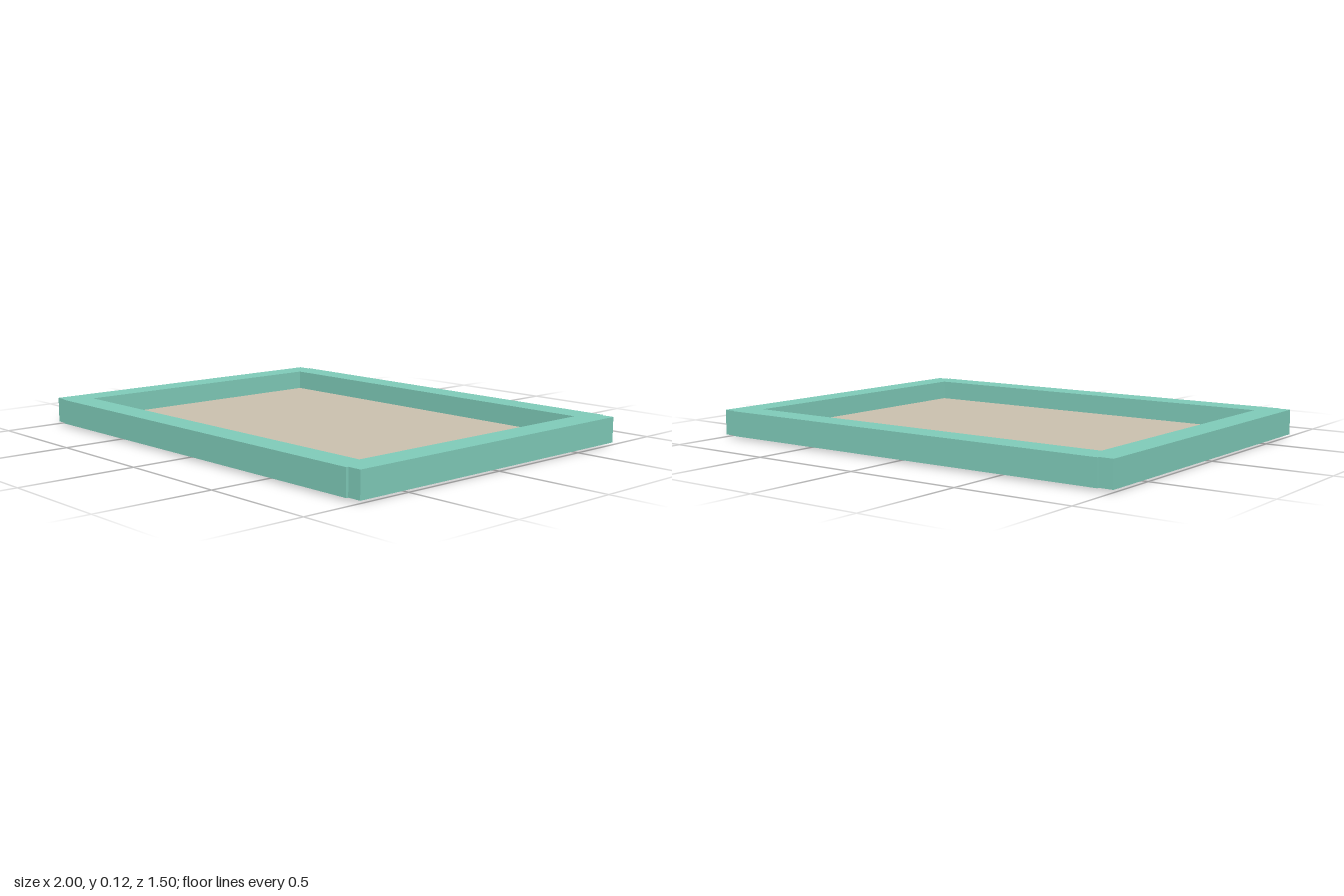
import * as THREE from 'three';

const teal = new THREE.MeshStandardMaterial({ name: 'teal frame', color: 0x7fcbb9 });
const beige = new THREE.MeshStandardMaterial({ name: 'beige panel', color: 0xcac0ae });

export function createModel() {
  const model = new THREE.Group();
  model.name = 'framedPanel';

  // Frame outline: side rails stop slightly short of the front and back rails
  const endX = 1, railX = 0.94, sideZ = 0.74, railZ = 0.75;
  const outline = new THREE.Shape([
    [-railX, -railZ], [railX, -railZ], [railX, -sideZ], [endX, -sideZ],
    [endX, sideZ], [railX, sideZ], [railX, railZ], [-railX, railZ],
    [-railX, sideZ], [-endX, sideZ], [-endX, -sideZ], [-railX, -sideZ],
  ].map(([x, z]) => new THREE.Vector2(x, z)));

  // Opening inside the rails
  const openX = 0.88, openZ = 0.63;
  outline.holes.push(new THREE.Path([
    [-openX, -openZ], [-openX, openZ], [openX, openZ], [openX, -openZ],
  ].map(([x, z]) => new THREE.Vector2(x, z))));

  const frameGeometry = new THREE.ExtrudeGeometry(outline, { depth: 0.11, bevelEnabled: false });
  frameGeometry.rotateX(-Math.PI / 2);
  const frame = new THREE.Mesh(frameGeometry, teal);
  frame.name = 'frame';
  frame.position.y = 0.01;
  model.add(frame);

  // Base panel, set into the frame and projecting slightly below it
  const thickness = 0.033;
  const panel = new THREE.Mesh(new THREE.BoxGeometry(1.88, thickness, 1.38), beige);
  panel.name = 'basePanel';
  panel.position.y = thickness / 2;
  model.add(panel);

  return model;
}
